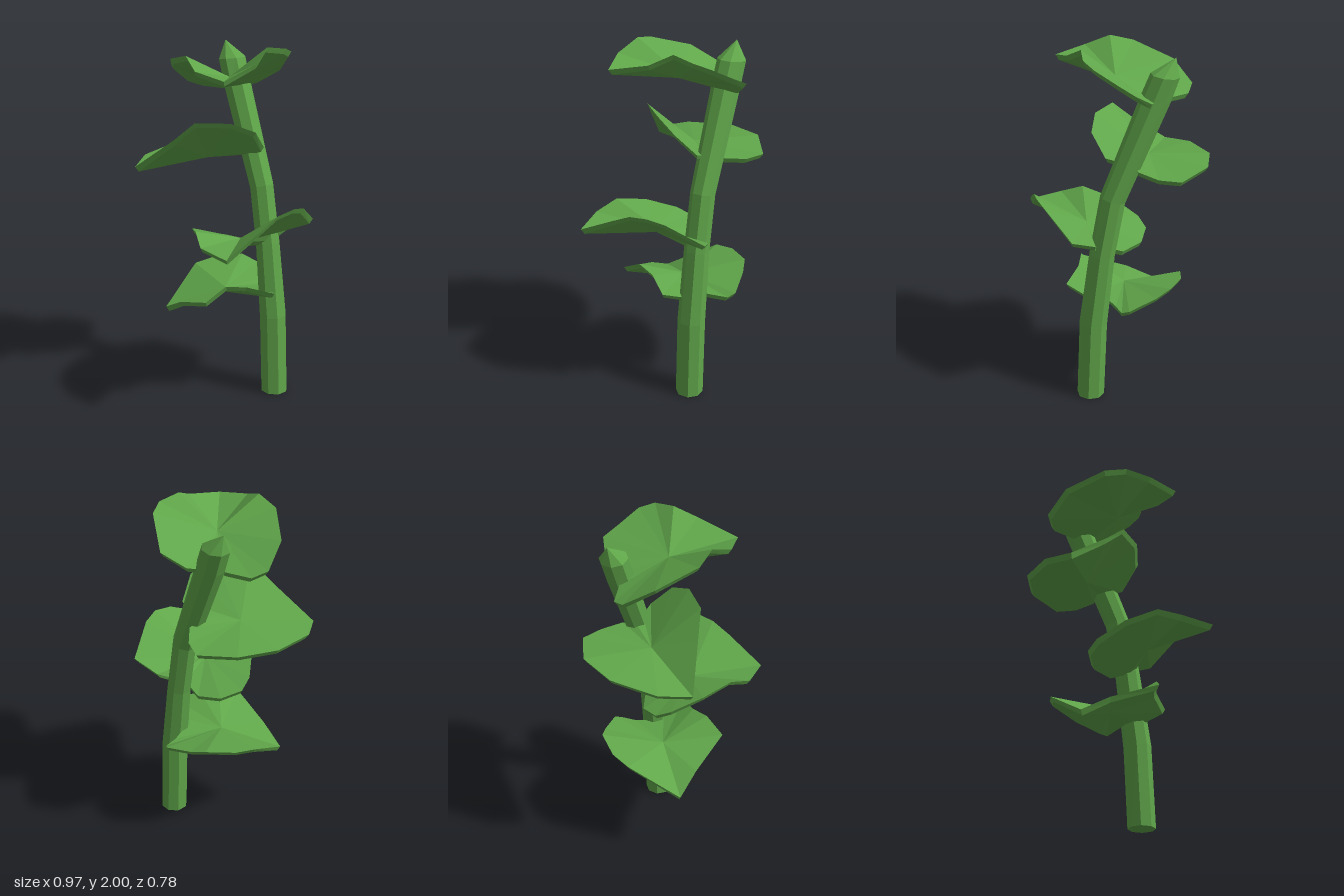
import * as THREE from 'three';

const leafGreen = new THREE.MeshStandardMaterial({ color: 0x60a64a, flatShading: true });
leafGreen.name = 'leafGreen';

// Builds a faceted mesh from a list of [a, b, c] point triples.
function facetMesh(name, triangles) {
  const geometry = new THREE.BufferGeometry();
  geometry.setAttribute('position', new THREE.Float32BufferAttribute(triangles.flat(2), 3));
  geometry.computeVertexNormals();
  const mesh = new THREE.Mesh(geometry, leafGreen);
  mesh.name = name;
  return mesh;
}

// Leaf: a folded fan around its centre, given a thin underside and a bevelled rim.
function leaf(name, centre, outline, thickness = 0.028) {
  const under = ([x, y, z]) => [
    x + (centre[0] - x) * 0.05, y - thickness, z + (centre[2] - z) * 0.05];
  const tris = [];
  outline.forEach((p, i) => {
    const q = outline[(i + 1) % outline.length];
    const pu = under(p), qu = under(q);
    tris.push([centre, p, q], [under(centre), qu, pu], [p, pu, qu], [p, qu, q]);
  });
  return facetMesh(name, tris);
}

// Stem: octagonal rings lofted along a bent path, closed with a pointed tip.
function stem(path, tip) {
  const sides = 8;
  const rings = path.map(([x, y, z, r, tilt]) => Array.from({ length: sides }, (_, i) => {
    const a = (i + 0.5) / sides * Math.PI * 2;
    return [x + r * Math.sin(a), y + tilt * r * Math.sin(a), z + r * Math.cos(a)];
  }));
  const tris = [];
  const last = rings[rings.length - 1];
  for (let i = 0; i < sides; i++) {
    const j = (i + 1) % sides;
    for (let k = 0; k < rings.length - 1; k++) {
      const a = rings[k][i], b = rings[k][j], c = rings[k + 1][j], d = rings[k + 1][i];
      tris.push([a, b, c], [a, c, d]);
    }
    tris.push([last[i], last[j], tip]);
    tris.push([path[0].slice(0, 3), rings[0][j], rings[0][i]]);
  }
  return facetMesh('stem', tris);
}

export function createModel() {
  const group = new THREE.Group();
  group.name = 'leafyPlant';

  // x, y, z, radius, ring tilt
  group.add(stem([
    [0.228, 0, -0.178, 0.077, 0],
    [0.208, 0.46, -0.178, 0.077, 0.1],
    [0.155, 0.88, -0.18, 0.069, 0.15],
    [0.096, 1.2, -0.183, 0.067, 0.3],
    [-0.132, 1.75, -0.195, 0.076, 0.3],
    [-0.178, 1.87, -0.2, 0.076, 0.15],
  ], [-0.235, 1.96, -0.2]));

  // Outlines run anticlockwise seen from above.
  group.add(leaf('lowestLeaf', [-0.01, 0.605, -0.01], [
    [-0.245, 0.475, 0.235], [-0.09, 0.56, 0.25], [0.17, 0.65, 0.28],
    [0.2, 0.72, 0.16], [0.24, 0.70, 0.05], [0.335, 0.66, -0.07],
    [0.24, 0.615, -0.15], [0.14, 0.605, -0.15], [0.1, 0.59, -0.26],
    [0.085, 0.59, -0.34], [0.05, 0.61, -0.37], [-0.11, 0.65, -0.335],
    [-0.2, 0.68, -0.3], [-0.3, 0.665, -0.17], [-0.33, 0.645, -0.05],
  ]));

  group.add(leaf('lowerMiddleLeaf', [0.19, 0.975, 0.05], [
    [0.265, 1.02, 0.39], [0.45, 1.0, 0.37], [0.475, 1.12, 0.15],
    [0.48, 1.175, 0.04], [0.483, 1.19, -0.07], [0.455, 1.165, -0.16],
    [0.35, 1.04, -0.335], [0.215, 0.98, -0.285], [0.19, 0.93, -0.2],
    [0.14, 0.9, -0.14], [0.03, 0.865, -0.15], [-0.09, 0.88, -0.09],
    [-0.145, 0.91, 0.02], [-0.12, 0.95, 0.1], [0.0, 1.02, 0.235],
    [0.15, 1.065, 0.33],
  ]));

  group.add(leaf('upperMiddleLeaf', [-0.15, 1.37, 0.0], [
    [-0.345, 1.31, 0.355], [-0.12, 1.49, 0.26], [0.0, 1.6, 0.21],
    [0.13, 1.6, 0.07], [0.18, 1.54, -0.06], [0.13, 1.43, -0.165],
    [0.05, 1.4, -0.17], [-0.03, 1.39, -0.16], [-0.025, 1.37, -0.25],
    [-0.115, 1.35, -0.335], [-0.225, 1.345, -0.38], [-0.405, 1.365, -0.26],
    [-0.483, 1.355, -0.05], [-0.45, 1.33, 0.21],
  ]));

  group.add(leaf('topLeaf', [0.035, 1.825, 0.0], [
    [0.13, 1.91, 0.308], [0.3, 1.88, 0.26], [0.288, 1.94, 0.03],
    [0.235, 2.0, -0.085], [0.25, 1.98, -0.205], [0.21, 1.95, -0.28],
    [0.1, 1.88, -0.345], [0.025, 1.835, -0.39], [-0.08, 1.76, -0.31],
    [-0.11, 1.745, -0.25], [-0.09, 1.76, -0.165], [-0.2, 1.73, -0.158],
    [-0.335, 1.73, -0.105], [-0.378, 1.76, -0.03], [-0.315, 1.855, 0.12],
    [-0.13, 1.93, 0.262], [0.0, 1.965, 0.265],
  ]));

  return group;
}
